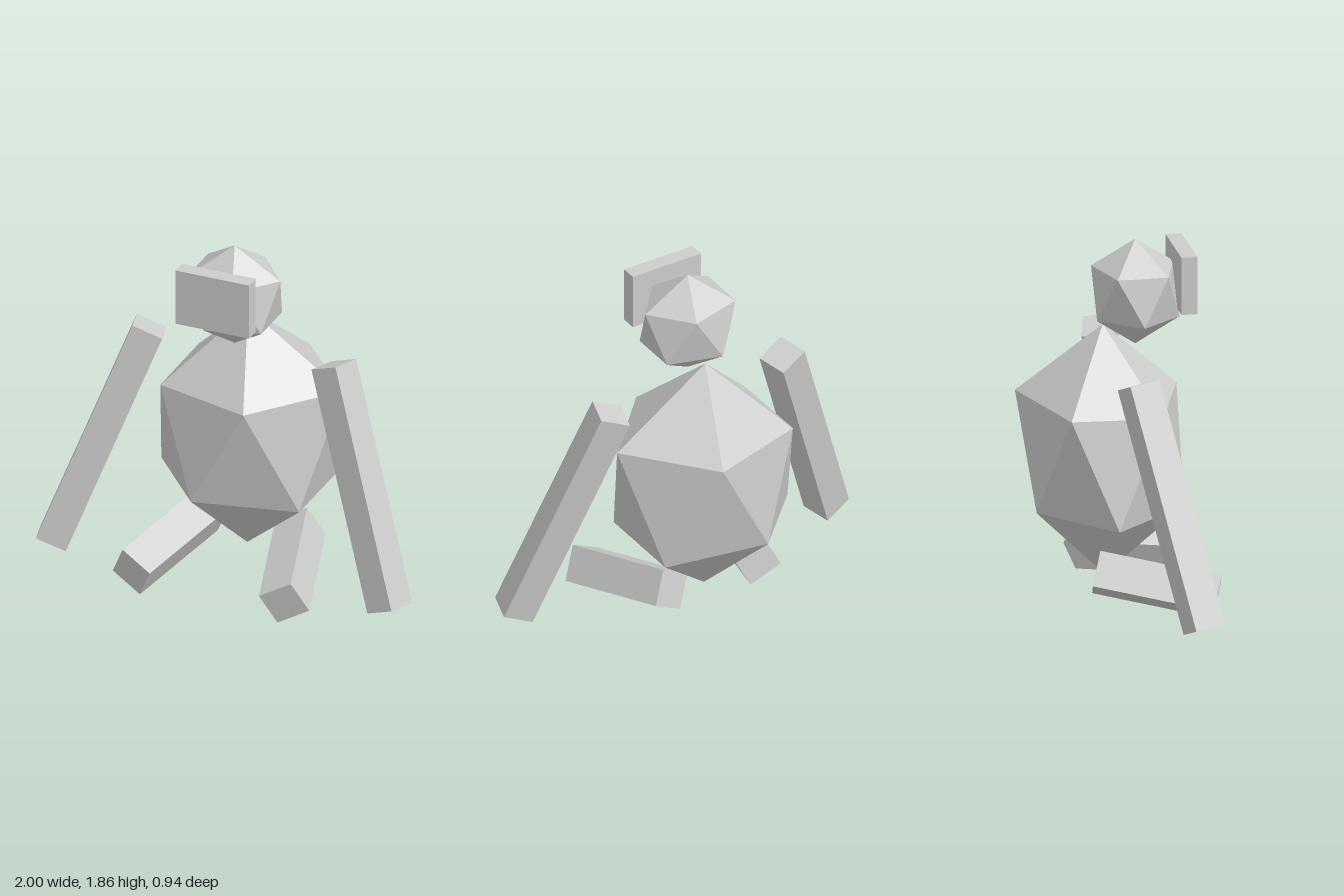
import * as THREE from 'three';
import { ConvexGeometry } from 'three/addons/geometries/ConvexGeometry.js';

const stone = new THREE.MeshStandardMaterial({ color: 0xcccccc, flatShading: true });
stone.name = 'plain grey';

function add(group, name, geometry) {
  const mesh = new THREE.Mesh(geometry, stone);
  mesh.name = name;
  group.add(mesh);
  return mesh;
}

// Square beam running along one direction, with a second direction fixing its roll
function addBeam(group, name, sx, { center, along, side, width, length }) {
  const y = new THREE.Vector3(sx * along[0], along[1], along[2]).normalize();
  const x = new THREE.Vector3(sx * side[0], side[1], side[2]);
  x.addScaledVector(y, -x.dot(y)).normalize();
  const z = new THREE.Vector3().crossVectors(x, y);
  const beam = add(group, name, new THREE.BoxGeometry(width, length, width));
  beam.quaternion.setFromRotationMatrix(new THREE.Matrix4().makeBasis(x, y, z));
  beam.position.set(sx * center[0], center[1], center[2]);
}

// Twenty-sided hull: two poles and two staggered rings of five
function headPoints() {
  const points = [new THREE.Vector3(0, 1.87, 0.103), new THREE.Vector3(0, 1.33, 0.103)];
  for (let i = 0; i < 5; i++) {
    const a = (i * 2 * Math.PI) / 5;
    const x = 0.245 * Math.cos(a), z = 0.217 * Math.sin(a);
    points.push(new THREE.Vector3(x, 1.722, 0.103 + z));
    points.push(new THREE.Vector3(-x, 1.48, 0.103 - z));
  }
  return points;
}

export function createModel() {
  const model = new THREE.Group();
  model.name = 'blockyFigure';

  // Body: slightly uneven faceted hull
  const bodyCorners = [
    [0, 1.44, -0.06],
    [0.51, 1.09, -0.06], [0.15, 1.07, 0.34], [-0.37, 1.05, 0.17],
    [-0.365, 1.06, -0.29], [0.15, 1.08, -0.47],
    [-0.47, 0.51, -0.07], [-0.14, 0.52, 0.32], [0.38, 0.505, 0.18],
    [0.38, 0.505, -0.3], [-0.14, 0.53, -0.42],
    [0, 0.15, -0.05],
  ];
  add(model, 'body', new ConvexGeometry(bodyCorners.map((p) => new THREE.Vector3(...p))));

  // Head and face plate
  add(model, 'head', new ConvexGeometry(headPoints()));
  add(model, 'facePlate', new THREE.BoxGeometry(0.395, 0.295, 0.08)).position.set(0, 1.672, 0.335);

  // Arms and legs, mirrored
  const arm = {
    center: [0.7, 0.7, 0.142], along: [0.41, -1.15, 0.247], side: [-0.145, -0.06, -0.035],
    width: 0.16, length: 1.245,
  };
  const leg = {
    center: [0.328, 0.185, 0.145], along: [0.165, -0.115, 0.575], side: [0.155, 0.085, -0.03],
    width: 0.182, length: 0.609,
  };
  for (const [label, sx] of [['left', 1], ['right', -1]]) {
    addBeam(model, label + 'Arm', sx, arm);
    addBeam(model, label + 'Leg', sx, leg);
  }
  return model;
}
